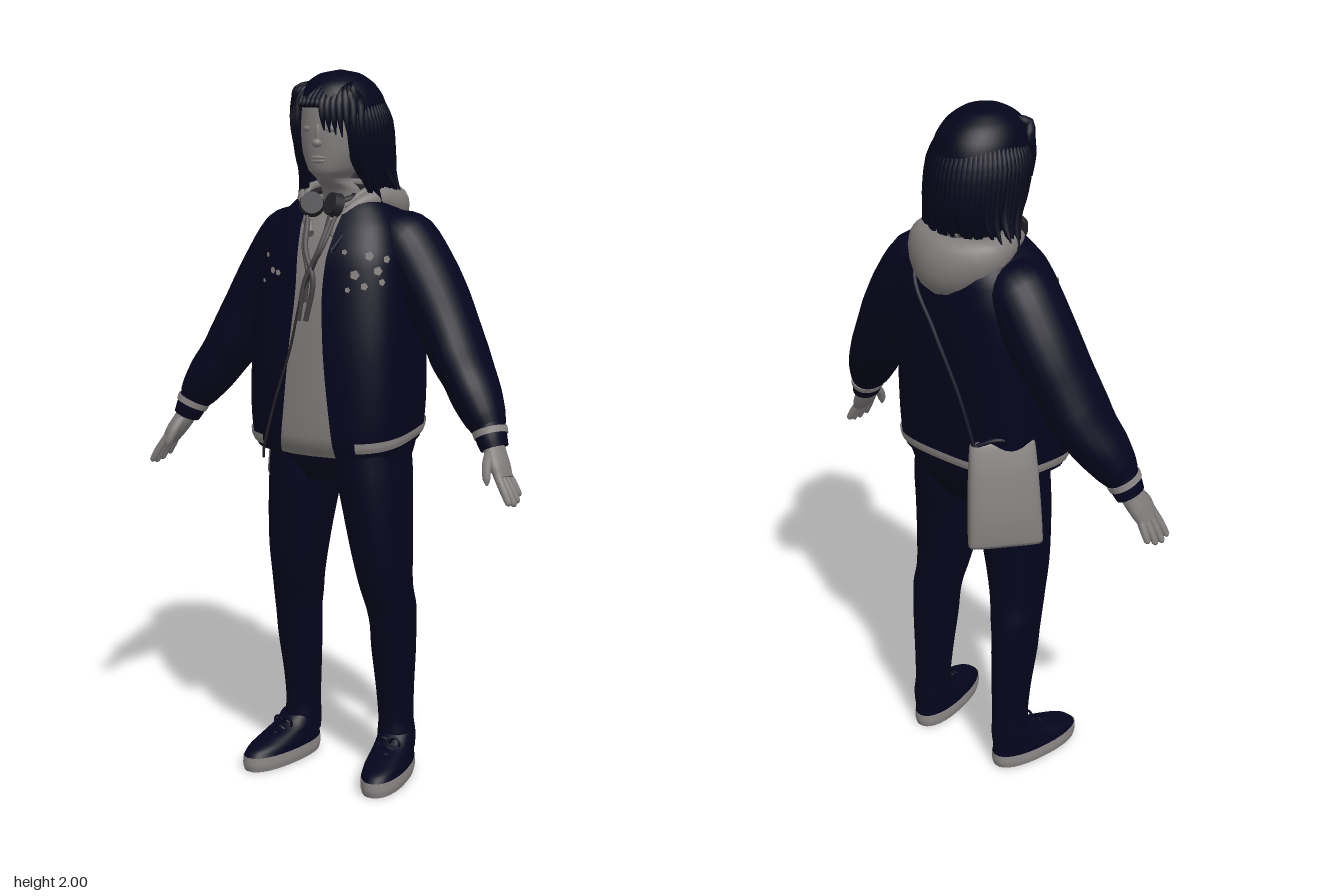
import * as THREE from 'three';

const V = (x, y, z) => new THREE.Vector3(x, y, z);
const X = V(1, 0, 0), Y = V(0, 1, 0), Z = V(0, 0, 1);
const spow = (v, p) => Math.sign(v) * Math.abs(v) ** p;

// Smooth skin through sections [x, y, z, ru, rv, gap]. Without ref the rings are level.
// p squares the ring; gap is the half-width left open at the front.
function loft(secs, { ref = null, p = 1, n = 24, sub = 4, open = false, warp = null } = {}) {
  const path = new THREE.CatmullRomCurve3(secs.map(s => V(s[0], s[1], s[2])));
  const size = new THREE.CatmullRomCurve3(secs.map(s => V(s[3], s[4], s[5] || 0)));
  const m = (secs.length - 1) * sub;
  const pts = [], idx = [], cols = n + 1;
  for (let i = 0; i <= m; i++) {
    const c = path.getPoint(i / m), r = size.getPoint(i / m);
    let u = X, v = Z;
    if (ref) {
      const t = path.getPoint(Math.min(1, (i + 0.5) / m)).sub(path.getPoint(Math.max(0, (i - 0.5) / m))).normalize();
      u = t.clone().cross(ref).normalize();
      v = u.clone().cross(t);
    }
    const g = Math.asin(Math.min(1, Math.max(0, r.z) / Math.max(r.x, 1e-3)) ** (1 / p));
    for (let j = 0; j <= n; j++) {
      const a = Math.PI / 2 + g + (j % (open ? cols : n)) / n * (Math.PI * 2 - 2 * g);
      const q = c.clone().addScaledVector(u, Math.max(r.x, 0.001) * spow(Math.cos(a), p))
        .addScaledVector(v, Math.max(r.y, 0.001) * spow(Math.sin(a), p));
      if (warp) warp(q);
      pts.push(q);
    }
  }
  for (let i = 0; i < m; i++) for (let j = 0; j < n; j++) {
    const a = i * cols + j, b = i * cols + (open || j < n - 1 ? j + 1 : 0), c = a + cols, d = b + cols;
    idx.push(a, c, b, b, c, d);
  }
  if (!open) for (const e of [0, m]) { // end caps
    const k = pts.length;
    for (let j = 0; j < n; j++) pts.push(pts[e * cols + j].clone());
    pts.push(path.getPoint(e / m));
    for (let j = 0; j < n; j++) {
      const a = k + j, b = k + (j + 1) % n;
      idx.push(k + n, ...(e ? [b, a] : [a, b]));
    }
  }
  const geo = new THREE.BufferGeometry().setFromPoints(pts);
  geo.setIndex(idx);
  geo.computeVertexNormals();
  return geo;
}

const tube = (pts, r) => new THREE.TubeGeometry(new THREE.CatmullRomCurve3(pts.map(q => V(...q))), 40, r, 6);

export function createModel() {
  const model = new THREE.Group();
  const mat = (name, color, side = THREE.FrontSide) => {
    const m = new THREE.MeshStandardMaterial({ color, side });
    m.name = name;
    return m;
  };
  const navy = mat('navy cloth', 0x04041d, THREE.DoubleSide);
  const hair = mat('dark hair', 0x04051a, THREE.DoubleSide);
  const skin = mat('skin', 0x807c7c);
  const cloth = mat('grey cloth', 0x7f7b7a, THREE.DoubleSide);
  const trim = mat('light trim', 0x8a8685, THREE.DoubleSide);
  const dark = mat('dark plastic', 0x25252a);
  const cord = mat('cord grey', 0x434042);
  const add = (name, geo, m, pos, scale) => {
    const mesh = new THREE.Mesh(geo, m);
    mesh.name = name;
    if (pos) mesh.position.set(...pos);
    if (scale) mesh.scale.set(...scale);
    model.add(mesh);
    return mesh;
  };
  let seed = 7;
  const rnd = () => (seed = (seed * 16807) % 2147483647) / 2147483647 - 0.5;

  // Head and neck
  add('head', loft([[0, 1.55, 0, .055, .055], [0, 1.67, .015, .052, .055], [0, 1.705, .06, .038, .062],
    [0, 1.73, .06, .062, .085], [0, 1.78, .055, .084, .095], [0, 1.84, .045, .095, .105],
    [0, 1.9, .035, .098, .108], [0, 1.95, .03, .075, .085], [0, 1.98, .02, .02, .02]]), skin);
  const ball = new THREE.SphereGeometry(1, 16, 12);
  add('nose', ball, skin, [0, 1.805, .15], [.014, .012, .014]);
  add('noseBridge', ball, skin, [0, 1.83, .144], [.009, .03, .01]);
  for (const y of [1.757, 1.766]) add('lip', ball, skin, [0, y, .147], [.022, .006, .006]);
  for (const s of [-1, 1]) {
    add('eyelid', ball, skin, [s * .036, 1.842, .14], [.016, .008, .005]).rotation.y = s * .3;
    add('ear', ball, skin, [s * .095, 1.82, .03], [.012, .03, .02]);
  }

  // Hair: open-fronted cap, hanging locks with flicked ends, side-parted fringe
  add('hairCap', loft([[0, 1.68, -.035, .104, .085, .085], [0, 1.73, -.025, .116, .112, .09], [0, 1.8, -.002, .122, .134, .092],
    [0, 1.87, .012, .122, .142, .08], [0, 1.92, .018, .113, .135, .04], [0, 1.96, .022, .09, .108, 0],
    [0, 1.988, .022, .052, .06, 0], [0, 1.998, .02, .003, .003, 0]], { open: true, n: 40 }), hair);
  for (let i = 0; i < 48; i++) {
    const a = Math.PI / 2 + .75 + i / 47 * (Math.PI * 2 - 1.5);
    const c = Math.cos(a), s = Math.sin(a), side = Math.abs(c) ** 3, k = rnd();
    const flick = (.005 + (k + .5) * .05) * side, end = 1.685 - .04 * side + rnd() * .08;
    add('hairLock', loft([[.1 * c, 1.93, .015 + .112 * s, .006, .006], [.121 * c, 1.86, .008 + .138 * s, .014, .012],
      [.122 * c, 1.77, -.008 + .135 * s, .015, .013], [.116 * c + Math.sign(c) * flick * .3, (1.77 + end) / 2, -.02 + .12 * s, .012, .01],
      [.112 * c + Math.sign(c) * flick, end, -.028 + .106 * s, .002, .002]], { ref: Z, n: 6, sub: 3 }), hair);
  }
  for (let i = -7; i <= 7; i++) {
    const x = i * .0145, parted = i > -5 && i < 1, end = parted ? 1.895 + rnd() * .02 : 1.845 - Math.abs(i) * .006;
    const back = x * x * 5;
    add('fringeLock', loft([[x * .5, 1.966, .06, .006, .006], [x * .85, 1.944, .106, .014, .012],
      [x, 1.912, .146 - back, .015, .011], [x * 1.05 + .004, (1.912 + end) / 2, .155 - back, .011, .008],
      [x * 1.08 + .008, end, .153 - back, .002, .002]], { ref: X, n: 6, sub: 3 }), hair);
  }

  // Shirt, jacket and hem; the hem dips towards the front
  const dip = q => { q.y -= .13 * q.z * THREE.MathUtils.clamp((1.3 - q.y) / .3, 0, 1); };
  const square = .68;
  add('shirt', loft([[0, .975, .03, .2, .15], [0, 1.03, .033, .212, .168], [0, 1.2, .028, .205, .163],
    [0, 1.4, .015, .19, .154], [0, 1.55, 0, .16, .125], [0, 1.63, -.01, .09, .08]], { p: .8, warp: dip }), cloth);
  add('jacketBody', loft([[0, .985, .03, .222, .174, .085], [0, 1.02, .032, .232, .184, .081], [0, 1.1, .032, .238, .187, .071],
    [0, 1.25, .027, .234, .19, .054], [0, 1.4, .014, .224, .186, .042], [0, 1.5, .006, .212, .176, .045],
    [0, 1.58, -.005, .184, .15, .055], [0, 1.64, -.012, .138, .112, .06], [0, 1.668, -.015, .1, .085, .06]],
    { p: square, n: 56, open: true, warp: dip }), navy);
  add('hemStripe', loft([[0, 1.0, .031, .231, .183, .145], [0, 1.014, .032, .236, .188, .145], [0, 1.028, .032, .238, .189, .145]],
    { p: square, n: 56, open: true, warp: dip }), trim);

  // Small chest patches lying on the jacket
  for (const [x, y, r] of [[-.145, 1.5, .008], [-.12, 1.46, .01], [-.1, 1.455, .009], [-.15, 1.43, .007], [.1, 1.52, .008],
    [.13, 1.46, .014], [.16, 1.51, .013], [.155, 1.43, .011], [.115, 1.42, .008], [.18, 1.47, .013], [.192, 1.5, .011], [.19, 1.44, .01]]) {
    const f = THREE.MathUtils.clamp((y - 1.4) / .1, 0, 1);
    const rx = .224 - .012 * f, rz = .186 - .01 * f, cz = .014 - .008 * f;
    const c = (Math.abs(x) / rx) ** (1 / square), s = Math.sqrt(1 - c * c);
    const nrm = V(Math.sign(x) * c ** (2 - square) / rx, .1, s ** (2 - square) / rz).normalize();
    const at = V(x, y, cz + rz * s ** square).addScaledVector(nrm, .005);
    add('chestPatch', new THREE.CircleGeometry(r, 5), trim, at.toArray()).lookAt(at.clone().add(nrm));
  }

  // Hood lying behind the neck, thin at the front
  add('hood', loft([[.03, 1.56, .135, .01, .014], [.075, 1.625, .085, .016, .02], [.112, 1.65, .01, .026, .03],
    [.112, 1.63, -.085, .043, .055], [0, 1.602, -.15, .053, .084], [-.112, 1.63, -.085, .043, .055],
    [-.112, 1.65, .01, .026, .03], [-.075, 1.625, .085, .016, .02], [-.03, 1.56, .135, .01, .014]], { ref: Y, n: 16, sub: 5 }), cloth);
  add('hoodRim', tube([[.055, 1.635, .1], [.092, 1.675, .03], [.085, 1.685, -.06], [0, 1.685, -.115],
    [-.085, 1.685, -.06], [-.092, 1.675, .03], [-.055, 1.635, .1]], .012), cloth);

  // Headphones and cords
  add('headphoneBand', tube([[.045, 1.645, .115], [.075, 1.66, .06], [.065, 1.67, -.03], [0, 1.675, -.065],
    [-.065, 1.67, -.03], [-.075, 1.66, .06], [-.045, 1.645, .115]], .01), dark);
  for (const s of [-1, 1]) {
    const cup = add('headphoneCup', new THREE.CylinderGeometry(.031, .035, .026, 20), dark, [s * .034, 1.64, .12]);
    cup.rotation.set(1.2, 0, s * .5);
    add('hoodCord', tube([[s * .035, 1.6, .14], [s * .02, 1.52, .178], [-s * .012, 1.44, .195], [-.02 - s * .012, 1.33, .2]], .008), cord);
    add('neckCord', tube([[s * .045, 1.62, .12], [s * .03, 1.53, .172], [.004 * s - .005, 1.46, .19], [-.012, 1.38, .197]], .006), cord);
  }
  add('headphoneCable', tube([[.03, 1.61, .14], [.02, 1.5, .186], [-.02, 1.4, .2], [-.05, 1.25, .214], [-.1, 1.1, .215],
    [-.14, .97, .206], [-.17, .93, .16]], .004), dark);

  // Shoulder bag, thicker and wider at the bottom, and its strap
  const bag = add('bag', loft([[0, -.15, 0, .1, .018], [0, -.14, 0, .104, .027], [0, -.06, 0, .102, .034],
    [0, .06, 0, .097, .028], [0, .14, 0, .091, .015], [0, .15, 0, .088, .01]], { p: .5, n: 32 }), cloth, [-.198, .97, -.118]);
  bag.rotation.set(.2, Math.PI * .285, 0, 'YXZ');
  add('bagStrap', tube([[-.13, 1.11, -.165], [-.08, 1.25, -.17], [0, 1.42, -.178], [.08, 1.56, -.165], [.115, 1.65, -.05],
    [.11, 1.64, .06], [.06, 1.52, .18]], .007), navy);
  add('bagLoop', tube([[-.13, 1.11, -.165], [-.18, 1.13, -.12], [-.23, 1.1, -.04]], .007), navy);

  for (const s of [-1, 1]) {
    // Arm: sleeve with soft folds, cuff, hand
    const M = list => list.map(([x, ...r]) => [x * s, ...r]);
    add('sleeve', loft(M([[.12, 1.58, -.02, .05, .08], [.178, 1.535, -.026, .088, .104], [.236, 1.445, -.028, .092, .106],
      [.283, 1.37, -.024, .087, .104], [.322, 1.305, -.015, .079, .1], [.358, 1.235, -.004, .077, .1], [.393, 1.18, .008, .069, .092],
      [.425, 1.13, .026, .066, .082], [.457, 1.08, .042, .056, .066], [.474, 1.055, .049, .046, .054]]), { ref: Z }), navy);
    add('cuff', loft(M([[.468, 1.065, .047, .044, .052], [.485, 1.025, .056, .04, .05], [.495, 1.003, .06, .036, .046]]), { ref: Z }), navy);
    add('cuffStripe', loft(M([[.475, 1.05, .05, .047, .055], [.482, 1.034, .054, .045, .053]]), { ref: Z }), trim);
    add('palm', loft(M([[.487, 1.02, .058, .028, .035], [.502, .99, .068, .026, .04], [.52, .96, .08, .023, .044],
      [.537, .93, .087, .017, .04]]), { ref: Z, n: 14 }), skin);
    for (let f = 0; f < 4; f++) {
      const z = .06 + f * .0185, l = [.8, .95, 1, .92][f], dz = (f - 1) * .005;
      add('finger', loft(M([[.528, .945, z, .012, .012], [.528 + .026 * l, .945 - .042 * l, z + dz, .0115, .0115],
        [.528 + .046 * l, .945 - .078 * l, z + dz * 1.6, .009, .009], [.528 + .049 * l, .945 - .084 * l, z + dz * 1.7, .003, .003]]),
        { ref: Z, n: 8, sub: 3 }), skin);
    }
    add('thumb', loft(M([[.494, 1.0, .085, .015, .015], [.5, .97, .12, .014, .014], [.508, .935, .138, .011, .011],
      [.512, .918, .142, .003, .003]]), { ref: X, n: 8, sub: 3 }), skin);

    // Trouser leg with knee and ankle folds
    add('trouserLeg', loft(M([[.158, .07, -.03, .052, .058], [.157, .11, -.03, .053, .062], [.155, .16, -.03, .048, .06],
      [.154, .25, -.025, .052, .065], [.155, .38, -.013, .061, .077], [.155, .45, -.008, .062, .083], [.152, .5, -.002, .068, .085],
      [.144, .56, .012, .071, .092], [.135, .66, .022, .082, .104], [.122, .78, .024, .093, .117], [.107, .9, .02, .103, .13],
      [.1, .98, .02, .104, .13]])), navy);

    // Shoe, turned slightly outwards
    const shoe = new THREE.Group();
    shoe.name = 'shoe';
    shoe.position.set(s * .163, 0, -.02);
    shoe.rotation.y = s * .17;
    model.add(shoe);
    shoe.add(
      add('sole', loft([[0, 0, .08, .057, .15], [0, .02, .08, .061, .155], [0, .042, .08, .06, .154]], { p: .88, n: 32 }), trim),
      add('shoeUpper', loft([[0, .04, .08, .06, .154], [0, .06, .07, .058, .142], [0, .08, .042, .054, .112],
        [0, .1, .01, .053, .078], [0, .125, -.005, .05, .06]], { p: .9, n: 32 }), navy));
    for (let k = 0; k < 4; k++) {
      const y = .112 - k * .012, z = .065 + k * .024;
      shoe.add(add('lace', tube([[-.03, y - .014, z], [0, y, z + .006], [.03, y - .014, z]], .005), navy));
    }
    for (const b of [-1, 1])
      shoe.add(add('laceBow', new THREE.TorusGeometry(.014, .004, 6, 14), navy, [b * .018, .108, .075]));
  }

  // Trouser seat, filling the jacket hem
  add('trouserSeat', loft([[0, .875, .02, .11, .11], [0, .93, .018, .203, .138], [0, 1.0, .013, .22, .157]], { p: .82 }), navy);
  return model;
}
